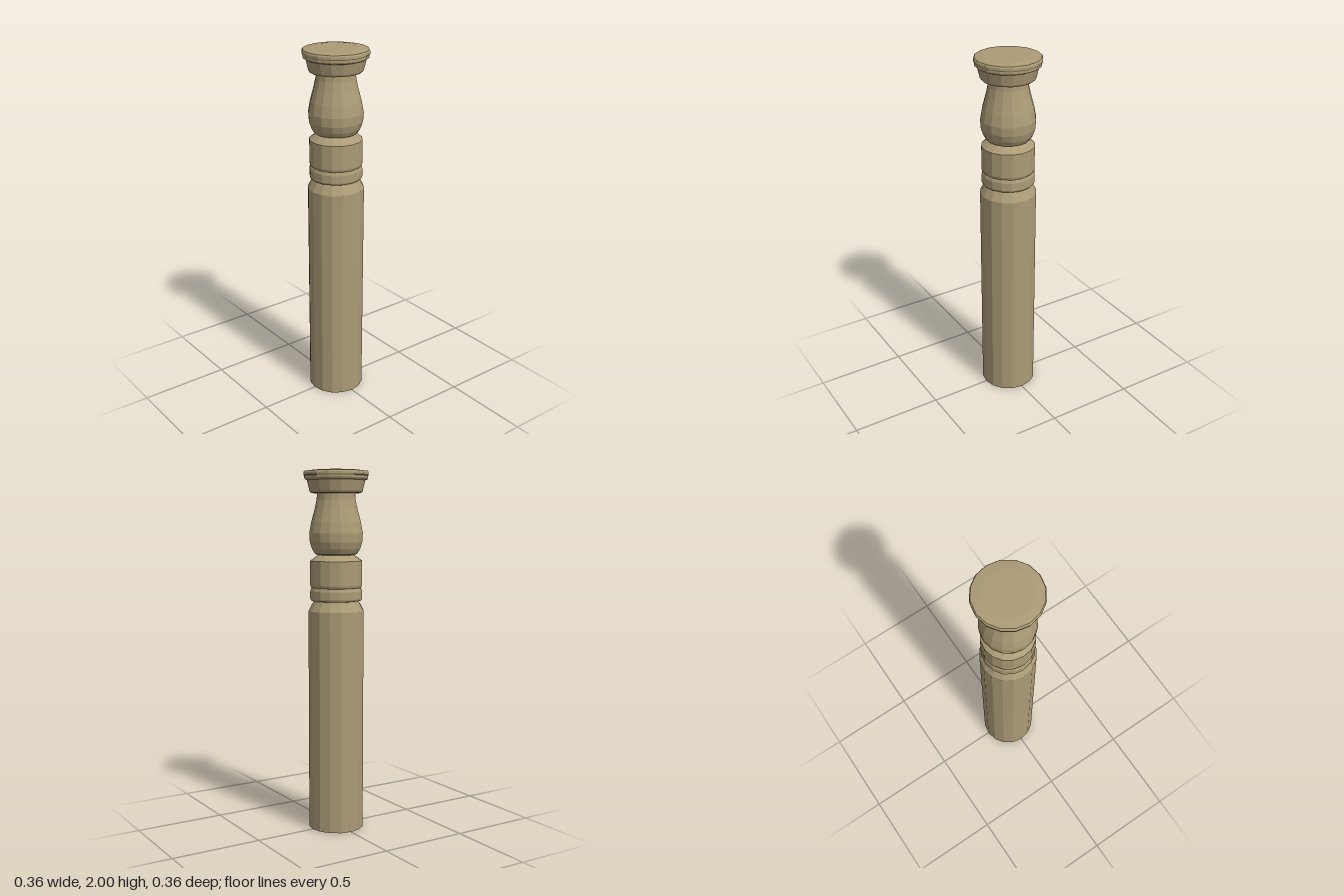
import * as THREE from 'three';

const SIDES = 16;

export function createModel() {
  const group = new THREE.Group();
  group.name = 'turnedPost';
  const wood = new THREE.MeshStandardMaterial({ color: 0xac9b76, flatShading: true });
  wood.name = 'pale wood';

  // Faceted turned section; the profile runs bottom to top as [radius, height]
  const turn = (name, profile) => {
    const points = profile.map(([r, y]) => new THREE.Vector2(r, y));
    const geometry = new THREE.LatheGeometry(points, SIDES).toNonIndexed();
    geometry.computeVertexNormals();
    const mesh = new THREE.Mesh(geometry, wood);
    mesh.name = name;
    group.add(mesh);
  };

  // Long shaft with a chamfered shoulder
  turn('shaft', [[0, 0], [0.155, 0], [0.155, 1.235], [0.128, 1.285], [0.128, 1.295]]);

  // Narrow ring above the shoulder
  turn('ring', [[0.128, 1.29], [0.14, 1.292], [0.145, 1.302], [0.145, 1.345], [0.14, 1.358], [0.136, 1.362]]);

  // Wide collar tapering into the neck
  turn('collar', [[0.136, 1.362], [0.141, 1.366], [0.145, 1.378], [0.145, 1.51], [0.1, 1.542]]);

  // Vase-shaped bulb
  turn('bulb', [
    [0.1, 1.542], [0.118, 1.548], [0.134, 1.575], [0.146, 1.612], [0.149, 1.66],
    [0.138, 1.72], [0.119, 1.79], [0.108, 1.84], [0.105, 1.88],
  ]);

  // Flared cap with a rim and a slightly domed top
  turn('cap', [
    [0.105, 1.875], [0.14, 1.877], [0.147, 1.887], [0.161, 1.945], [0.172, 1.95],
    [0.176, 1.957], [0.176, 1.968], [0.18, 1.973], [0.18, 1.985], [0.175, 1.994],
    [0.127, 2], [0, 2],
  ]);

  return group;
}
